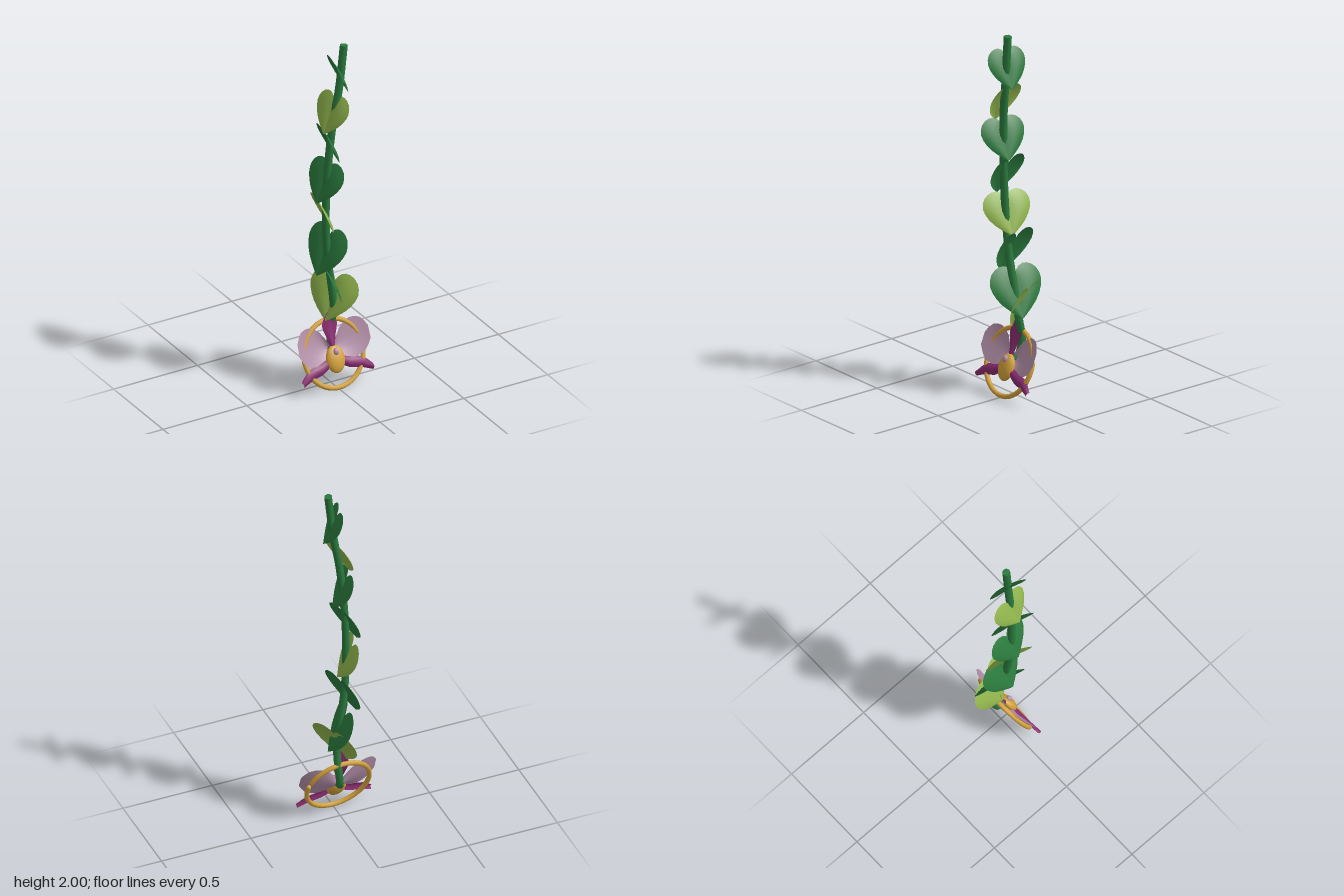
import * as THREE from 'three';

const flat = (name, color, double) => {
  const m = new THREE.MeshStandardMaterial({ color });
  m.name = name;
  if (double) m.side = THREE.DoubleSide;
  return m;
};
const path = (pts) => new THREE.CatmullRomCurve3(pts.map(([x, y, z = 0]) => new THREE.Vector3(x, y, z)));

// Curved sheet spanned between two edge curves; lift(x, s, t) gives its depth
function sheet(edgeA, edgeB, rows, cols, lift) {
  const a = path(edgeA), b = path(edgeB), pos = [], index = [];
  for (let i = 0; i <= rows; i++) {
    const t = i / rows, p = a.getPoint(t), q = b.getPoint(t);
    for (let j = 0; j <= cols; j++) {
      const s = j / cols, v = p.clone().lerp(q, s);
      pos.push(v.x, v.y, lift(v.x, s, t));
      if (i < rows && j < cols) {
        const k = i * (cols + 1) + j, n = k + cols + 1;
        index.push(k, n, k + 1, k + 1, n, n + 1);
      }
    }
  }
  const g = new THREE.BufferGeometry();
  g.setAttribute('position', new THREE.Float32BufferAttribute(pos, 3));
  g.setIndex(index);
  g.computeVertexNormals();
  return g;
}

function add(parent, name, geo, mat, x = 0, y = 0, z = 0) {
  const m = new THREE.Mesh(geo, mat);
  m.name = name;
  m.position.set(x, y, z);
  parent.add(m);
  return m;
}

export function createModel() {
  const model = new THREE.Group();
  model.name = 'hangingOrchidVine';
  const green = flat('darkGreen', 0x2a7a3d, true);
  const lime = flat('lightGreen', 0x8fb34c, true);
  const mauve = flat('paleMauve', 0xb591ab, true);
  const magenta = flat('magenta', 0x8a2c70, true);
  const gold = flat('gold', 0xd4a23c);

  // Stem, hooking into the back of the flower
  const stemPath = path([[0.037, 1.995, 0.07], [0.012, 1.75, 0.064], [-0.018, 1.55, 0.053], [-0.038, 1.3, 0.038],
    [-0.043, 1.05, 0.024], [-0.03, 0.8, 0.012], [0, 0.6, 0], [0.024, 0.43, -0.012],
    [0.022, 0.31, -0.035], [0.012, 0.22, -0.025], [0, 0.2, 0.02]]);
  add(model, 'stem', new THREE.TubeGeometry(stemPath, 40, 0.021, 8), green);
  const top = add(model, 'stemTop', new THREE.CylinderGeometry(0.021, 0.021, 0.01, 8), green, 0.037, 1.995, 0.07);
  top.rotation.z = -0.1;
  add(model, 'stemEnd', new THREE.SphereGeometry(0.023, 8, 6), green, 0, 0.2, 0.01);

  // Heart leaves: two puffed halves meeting in a crease along the midrib
  const half = sheet(
    [[0, 0.32], [0, 0.12], [0, -0.15], [0, -0.5]],
    [[0, 0.32], [0.07, 0.44], [0.19, 0.5], [0.33, 0.47], [0.45, 0.36], [0.5, 0.19],
      [0.46, 0.01], [0.34, -0.19], [0.16, -0.37], [0, -0.5]],
    14, 5, (x, s) => 0.3 * x * (1 - 1.25 * s));
  // centre x, y, z, width, height, side, yaw, material
  const leaves = [
    [0.025, 1.815, 0.055, 0.215, 0.225, 1, 0.2, green],
    [-0.035, 1.607, 0.05, 0.235, 0.225, -1, 0.2, lime],
    [-0.022, 1.412, 0.042, 0.25, 0.235, 1, 0.2, green],
    [-0.057, 1.2, 0.02, 0.255, 0.24, -1, 0.2, green],
    [-0.035, 0.99, 0.006, 0.27, 0.24, 1, 0.22, lime],
    [-0.035, 0.778, -0.007, 0.28, 0.275, -1, 0.22, green],
    [0.017, 0.567, -0.015, 0.295, 0.285, 1, 0.2, green],
    [0.022, 0.487, -0.03, 0.3, 0.27, -1, 0.42, lime],
  ];
  leaves.forEach(([x, y, z, w, h, side, yaw, mat], i) => {
    const leaf = new THREE.Group();
    leaf.name = 'leaf' + (i + 1);
    add(leaf, 'leafHalfLeft', half, mat);
    add(leaf, 'leafHalfRight', half, mat).scale.x = -1;
    leaf.position.set(x, y, z);
    leaf.rotation.set(-0.4, side * (Math.PI / 2 - yaw), 0, 'YXZ');
    leaf.scale.set(w, h, w);
    model.add(leaf);
  });

  // Flower, leaning back
  const flower = new THREE.Group();
  flower.name = 'flower';
  flower.position.set(0, 0.185, 0.027);
  flower.rotation.x = -0.36;
  model.add(flower);

  // Broad petals and lower sepals, mirrored left and right
  const petal = sheet(
    [[0.01, 0.04], [0.06, 0.125], [0.12, 0.162], [0.175, 0.152], [0.21, 0.1]],
    [[0.01, 0], [0.06, -0.03], [0.12, -0.046], [0.175, -0.025], [0.212, 0.03]],
    8, 6, (x, s, t) => 0.7 * x * x - 0.02 * Math.sin(Math.PI * s) * (1 - t));
  const sepal = sheet(
    [[0.01, -0.01], [0.08, -0.035], [0.16, -0.055], [0.212, -0.105]],
    [[0.01, -0.05], [0.08, -0.095], [0.14, -0.108], [0.207, -0.136]],
    6, 4, (x, s) => 0.004 + 0.016 * Math.sin(Math.PI * s));
  for (const [side, label] of [[1, 'Left'], [-1, 'Right']]) {
    add(flower, 'petal' + label, petal, mauve).scale.x = side;
    add(flower, 'lowerSepal' + label, sepal, magenta).scale.x = side;
  }

  // Upright sepal, curling forward at its tip
  const edge = (s) => [[0.012 * s, 0.03], [0.03 * s, 0.1], [0.045 * s, 0.155], [0.028 * s, 0.2], [0, 0.238]];
  add(flower, 'topSepal', sheet(edge(-1), edge(1), 8, 4,
    (x, s, t) => 0.006 + 0.04 * t * t + 0.014 * Math.sin(Math.PI * s) * (1 - t)), magenta);

  // Lip and column
  add(flower, 'lip', new THREE.SphereGeometry(1, 12, 10), gold, 0, -0.03, 0.012).scale.set(0.055, 0.074, 0.028);
  add(flower, 'column', new THREE.SphereGeometry(1, 8, 6), mauve, 0, 0.012, 0.036).scale.set(0.016, 0.02, 0.014);

  // Gold hoop with a small gap
  const hoop = new THREE.Group();
  hoop.name = 'hoop';
  hoop.scale.y = 1.04;
  flower.add(hoop);
  const from = 0.42, arc = Math.PI * 2 - 0.2;
  add(hoop, 'hoopRing', new THREE.TorusGeometry(0.174, 0.013, 8, 32, arc), gold).rotation.z = from;
  for (const a of [from, from + arc]) {
    add(hoop, 'hoopEnd', new THREE.SphereGeometry(0.013, 8, 6), gold, 0.174 * Math.cos(a), 0.174 * Math.sin(a), 0);
  }
  return model;
}
